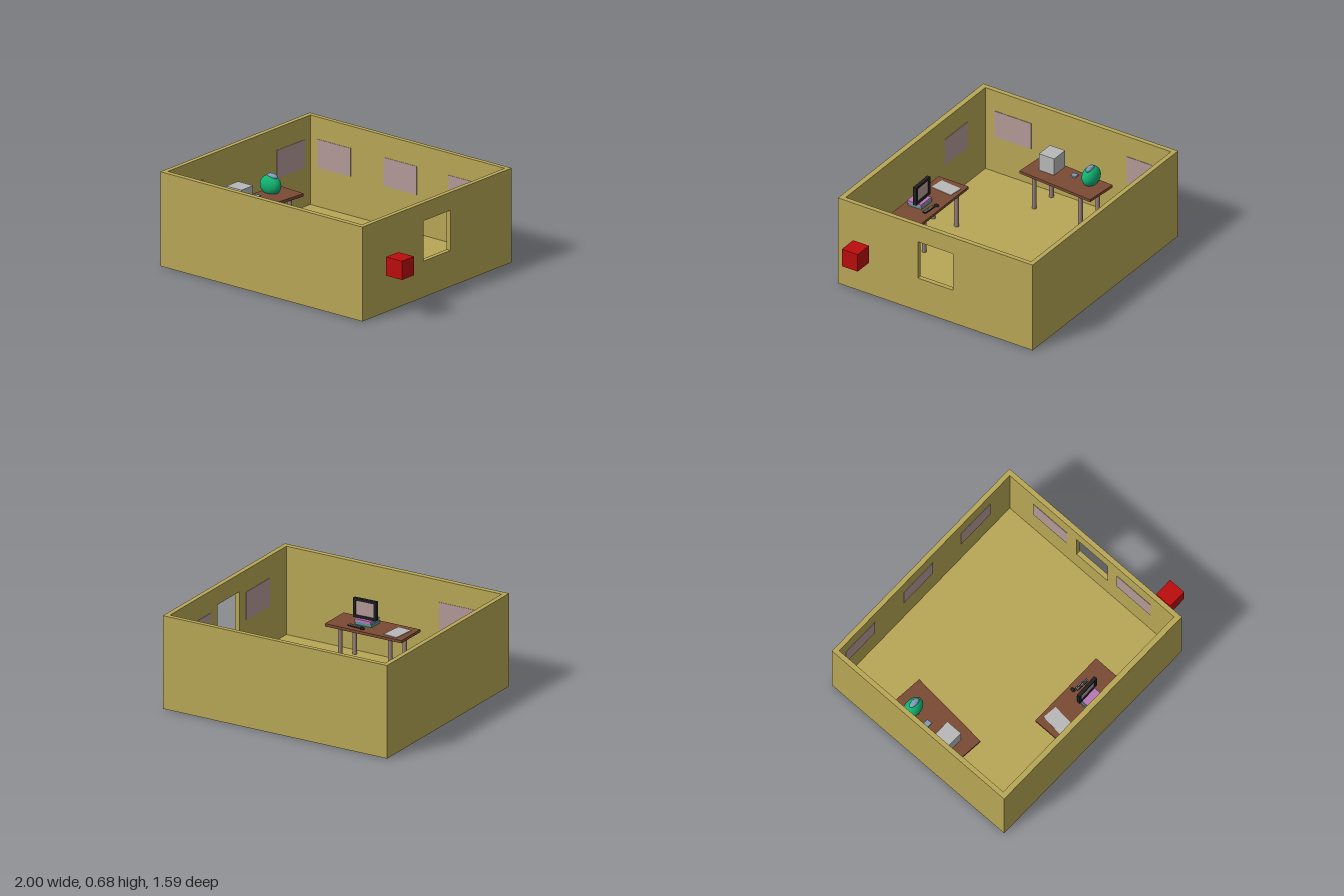
import * as THREE from 'three';

const mat = (color) => new THREE.MeshStandardMaterial({ color });
const WALL = mat(0xb8a756), WOOD = mat(0x7a4a34), LEG = mat(0x9a8078), PANEL = mat(0xb49a98);
const GREY = mat(0xb8b8b8), BLACK = mat(0x202022), RED = mat(0xbb0c0e), GREEN = mat(0x10b070);
const BLUE = mat(0x7a9db8), TEAL = mat(0x4f9a92), PINK = mat(0xb878b8);

const FLOOR = 0.035, TOP = 0.305;

function add(parent, name, geometry, material, x, y, z) {
  const mesh = new THREE.Mesh(geometry, material);
  mesh.name = name;
  mesh.position.set(x, y, z);
  parent.add(mesh);
  return mesh;
}

// Box given by its limits on each axis
function box(parent, name, material, x0, x1, y0, y1, z0, z1) {
  return add(parent, name, new THREE.BoxGeometry(x1 - x0, y1 - y0, z1 - z0), material,
    (x0 + x1) / 2, (y0 + y1) / 2, (z0 + z1) / 2);
}

function ellipsoid(parent, name, material, x, y, z, rx, ry, rz) {
  add(parent, name, new THREE.SphereGeometry(1, 32, 20), material, x, y, z).scale.set(rx, ry, rz);
}

// Desk with its long side along local x and four round legs
function desk(name) {
  const g = new THREE.Group();
  g.name = name;
  box(g, 'deskTop', WOOD, -0.306, 0.306, TOP - 0.02, TOP, -0.123, 0.123);
  const h = TOP - 0.02 - FLOOR;
  for (const sx of [-1, 1]) for (const sz of [-1, 1])
    add(g, 'deskLeg', new THREE.CylinderGeometry(0.016, 0.016, h, 20), LEG, sx * 0.2, FLOOR + h / 2, sz * 0.095);
  return g;
}

export function createModel() {
  const model = new THREE.Group();
  model.name = 'office';

  // Floor and the three plain walls
  const room = new THREE.Group();
  room.name = 'room';
  model.add(room);
  box(room, 'floor', WALL, -1, 0.79, 0, FLOOR, -0.795, 0.795);
  box(room, 'backWall', WALL, -1, 0.79, FLOOR, 0.68, -0.795, -0.76);
  box(room, 'frontWall', WALL, -1, 0.79, FLOOR, 0.68, 0.755, 0.795);
  box(room, 'rightWall', WALL, -1, -0.965, FLOOR, 0.68, -0.76, 0.755);

  // Wall with the window opening
  const rect = (T, x0, x1, y0, y1) => {
    const s = new T();
    s.moveTo(x0, y0).lineTo(x1, y0).lineTo(x1, y1).lineTo(x0, y1).closePath();
    return s;
  };
  const shape = rect(THREE.Shape, -0.755, 0.76, FLOOR, 0.68);
  shape.holes.push(rect(THREE.Path, -0.143, 0.143, 0.26, 0.55));
  add(room, 'windowWall', new THREE.ExtrudeGeometry(shape, { depth: 0.035, bevelEnabled: false }),
    WALL, 0.755, 0, 0).rotation.y = Math.PI / 2;

  // Thin panels hung on the inner faces
  const y0 = 0.315, y1 = 0.52, t = 0.003;
  for (const x of [-0.753, -0.168, 0.41])
    box(room, 'backWallPanel', PANEL, x - 0.147, x + 0.147, y0, y1, -0.76, -0.76 + t);
  box(room, 'frontWallPanel', PANEL, -0.74, -0.465, y0, y1, 0.755 - t, 0.755);
  for (const z of [-0.55, 0.53])
    box(room, 'rightWallPanel', PANEL, -0.965, -0.965 + t, y0, y1, z - 0.15, z + 0.15);
  for (const z of [-0.385, 0.385])
    box(room, 'windowWallPanel', PANEL, 0.755 - t, 0.755, y0, y1, z - 0.155, z + 0.155);

  // Side desk with its box, small block and round ornament
  const sideDesk = desk('sideDesk');
  sideDesk.position.set(-0.796, 0, -0.015);
  sideDesk.rotation.y = Math.PI / 2 - 0.08;
  model.add(sideDesk);
  box(model, 'printer', GREY, -0.915, -0.78, TOP, 0.435, 0.07, 0.195);
  box(model, 'smallBlock', BLUE, -0.868, -0.828, TOP, 0.316, -0.07, -0.03);
  ellipsoid(model, 'ornamentBody', GREEN, -0.843, 0.357, -0.19, 0.083, 0.072, 0.057);
  ellipsoid(model, 'ornamentCap', BLUE, -0.829, 0.422, -0.19, 0.044, 0.022, 0.021);

  // Front desk
  const frontDesk = desk('frontDesk');
  frontDesk.position.set(-0.03, 0, 0.598);
  model.add(frontDesk);
  add(model, 'paper', new THREE.BoxGeometry(0.11, 0.004, 0.17), GREY, -0.234, TOP + 0.002, 0.59).rotation.y = -0.1;
  ellipsoid(model, 'mouse', BLACK, 0, TOP + 0.006, 0.515, 0.013, 0.012, 0.018);

  // Keyboard with rows of keys
  const keyboard = new THREE.Group();
  keyboard.name = 'keyboard';
  keyboard.position.set(0.07, TOP, 0.532);
  keyboard.rotation.y = -0.07;
  box(keyboard, 'keyboardBase', BLACK, -0.052, 0.052, 0, 0.008, -0.013, 0.013);
  for (let r = 0; r < 3; r++) for (let c = 0; c < 10; c++)
    add(keyboard, 'key', new THREE.BoxGeometry(0.006, 0.003, 0.004), GREY,
      (c - 4.5) * 0.0098, 0.009, (r - 1) * 0.007);
  model.add(keyboard);

  // Computer case in two layers
  box(model, 'caseBase', TEAL, -0.037, 0.095, TOP, 0.325, 0.575, 0.683);
  box(model, 'caseTop', PINK, -0.028, 0.1, 0.325, 0.345, 0.575, 0.69);

  // Monitor: four frame bars around a recessed screen
  const monitor = new THREE.Group();
  monitor.name = 'monitor';
  monitor.position.set(0.035, 0.415, 0.612);
  monitor.rotation.y = 0.03;
  for (const s of [-1, 1]) {
    add(monitor, 'frameBar', new THREE.BoxGeometry(0.18, 0.018, 0.025), BLACK, 0, s * 0.061, 0);
    add(monitor, 'frameSide', new THREE.BoxGeometry(0.02, 0.14, 0.025), BLACK, s * 0.08, 0, 0);
  }
  box(monitor, 'screen', PANEL, -0.071, 0.071, -0.053, 0.053, -0.005, 0.005);
  model.add(monitor);

  // Red cube beside the room
  box(model, 'redCube', RED, 0.86, 1, 0.3, 0.435, 0.495, 0.625);
  return model;
}
